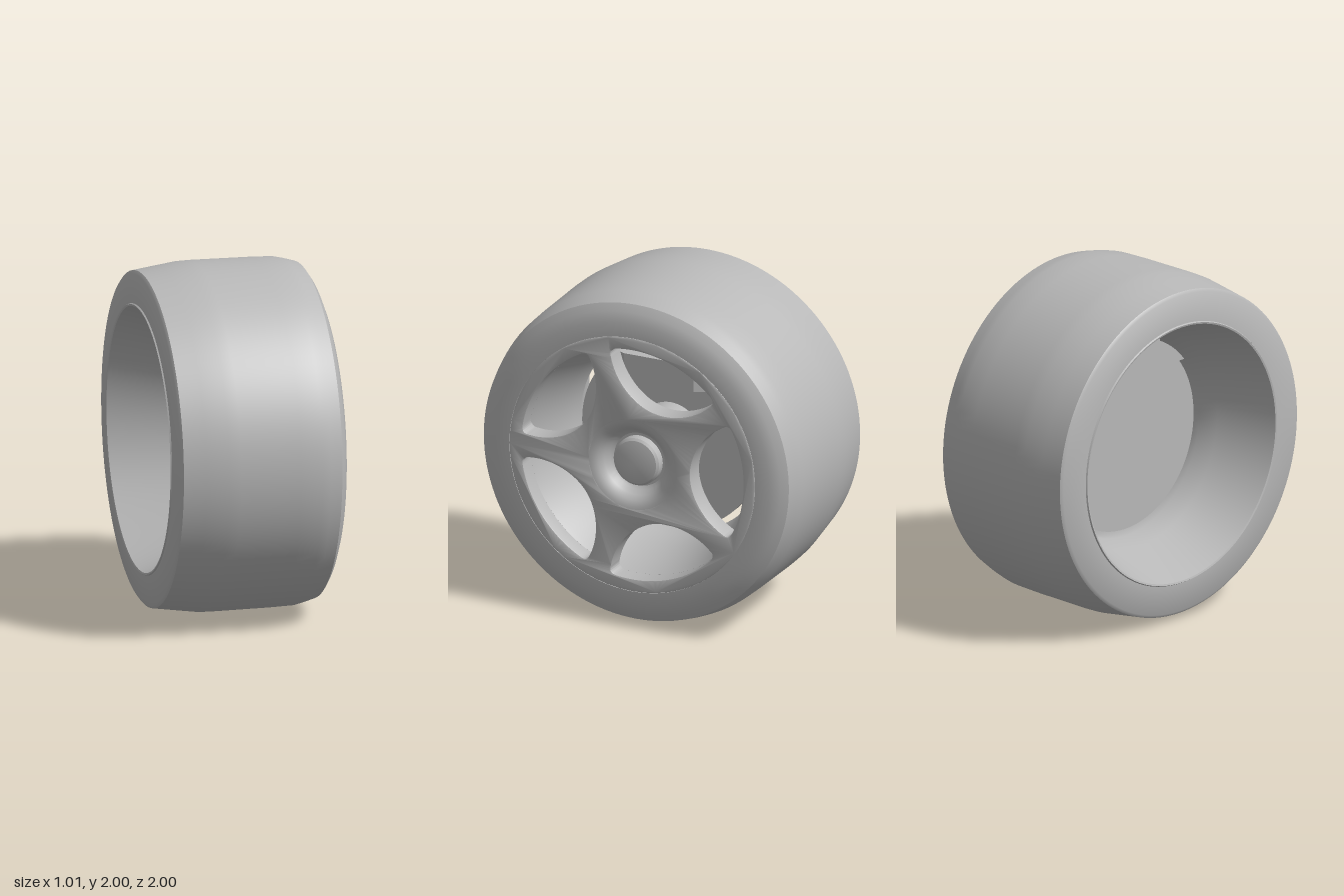
import * as THREE from 'three';
import { toCreasedNormals } from 'three/addons/utils/BufferGeometryUtils.js';

const grey = new THREE.MeshStandardMaterial({ color: 0xb8b8b8 });
grey.name = 'plain grey';

// Everything is built around the local z axis (outer face towards +z)
function part(name, geometry, parent, crease = 0.6) {
  const mesh = new THREE.Mesh(toCreasedNormals(geometry, crease), grey);
  mesh.name = name;
  parent.add(mesh);
  return mesh;
}

// Turned part from [radius, z] pairs
function turned(profile, segments = 96) {
  const points = profile.map(([r, z]) => new THREE.Vector2(r, z));
  return new THREE.LatheGeometry(points, segments).rotateX(Math.PI / 2);
}

// One rounded window between two spokes, turned to the given angle
function windowPath(angle) {
  const at = (x, y) => new THREE.Vector2(x, y).rotateAround(new THREE.Vector2(), angle);
  const half = 0.462, r = 0.70;
  const end = at(r * Math.cos(half), r * Math.sin(half));
  const path = new THREE.Path();
  const curve = (a, b, c) => path.bezierCurveTo(a.x, a.y, b.x, b.y, c.x, c.y);
  const corner = (a, b) => path.quadraticCurveTo(a.x, a.y, b.x, b.y);
  path.absarc(0, 0, r, angle - half, angle + half, false);
  path.lineTo(end.x, end.y);
  corner(at(0.605, 0.35), at(0.572, 0.327));
  curve(at(0.455, 0.265), at(0.365, 0.13), at(0.365, 0));
  curve(at(0.365, -0.13), at(0.455, -0.265), at(0.572, -0.327));
  const start = at(r * Math.cos(half), -r * Math.sin(half));
  corner(at(0.605, -0.35), start);
  return path;
}

export function createModel() {
  const model = new THREE.Group();
  model.name = 'wheel';
  const wheel = new THREE.Group();
  wheel.name = 'wheelAssembly';
  wheel.rotation.y = Math.PI / 2;
  wheel.position.y = 1;
  model.add(wheel);

  // Smooth tyre with rounded shoulders
  part('tyre', turned([
    [0.775, -0.5], [0.945, -0.49], [0.962, -0.477], [0.98, -0.35], [0.998, -0.22],
    [1, -0.15], [0.997, 0.2], [0.993, 0.33], [0.982, 0.38], [0.962, 0.45],
    [0.92, 0.477], [0.86, 0.5], [0.775, 0.503], [0.775, -0.5],
  ], 128), wheel);

  // Rim barrel narrowing to a throat around the disc
  part('rimBarrel', turned([
    [0.775, 0.40], [0.70, 0.40], [0.685, 0.36], [0.62, 0.14], [0.597, 0.02],
    [0.597, -0.06], [0.64, -0.16], [0.755, -0.49], [0.76, -0.505],
    [0.77, -0.508], [0.778, -0.495],
  ]), wheel);

  // Five-spoke face with windows and a hub opening
  const face = new THREE.Shape().absarc(0, 0, 0.776, 0, Math.PI * 2, false);
  for (let i = 0; i < 5; i++) face.holes.push(windowPath(i * Math.PI * 2 / 5));
  face.holes.push(new THREE.Path().absarc(0, 0, 0.27, 0, Math.PI * 2, true));
  const faceGeometry = new THREE.ExtrudeGeometry(face, {
    depth: 0.105, curveSegments: 32,
    bevelThickness: 0.01, bevelSize: 0.008, bevelOffset: -0.008, bevelSegments: 2,
  }).translate(0, 0, 0.39);
  part('spokeFace', faceGeometry, wheel);

  // Dished hub and its pointed cap
  part('hubDish', turned([
    [0, 0.38], [0.285, 0.38], [0.285, 0.504], [0.255, 0.5], [0.225, 0.483],
    [0.2, 0.455], [0.18, 0.42], [0.16, 0.405], [0, 0.40],
  ]), wheel);
  part('hubCap', turned([
    [0.145, 0.40], [0.143, 0.45], [0.13, 0.462], [0, 0.49],
  ], 48), wheel, 0.5);

  // Brake disc and axle hub
  part('brakeDisc', turned([
    [0, -0.05], [0.56, -0.05], [0.56, 0], [0, 0],
  ]), wheel);
  part('axleHub', turned([
    [0.2, -0.01], [0.2, 0.385],
  ], 48), wheel);

  // Caliper over the top of the disc
  const caliper = new THREE.Group();
  caliper.name = 'brakeCaliper';
  wheel.add(caliper);
  const a = Math.asin(0.36 / 0.575);
  const segment = new THREE.Shape().absarc(0, 0, 0.575, a, Math.PI - a, false);
  segment.closePath();
  part('caliperBody', new THREE.ExtrudeGeometry(segment, {
    depth: 0.15, bevelEnabled: false, curveSegments: 24,
  }).translate(0, 0, -0.085), caliper);
  const block = new THREE.Shape([[-0.4, 0], [-0.22, -0.1], [0.22, -0.1], [0.4, 0]]
    .map(([x, y]) => new THREE.Vector2(x, y)));
  part('caliperBlock', new THREE.ExtrudeGeometry(block, {
    depth: 0.16, bevelEnabled: false,
  }).rotateX(-Math.PI / 2).translate(0, 0.36, 0.06), caliper, 0.3);

  return model;
}
